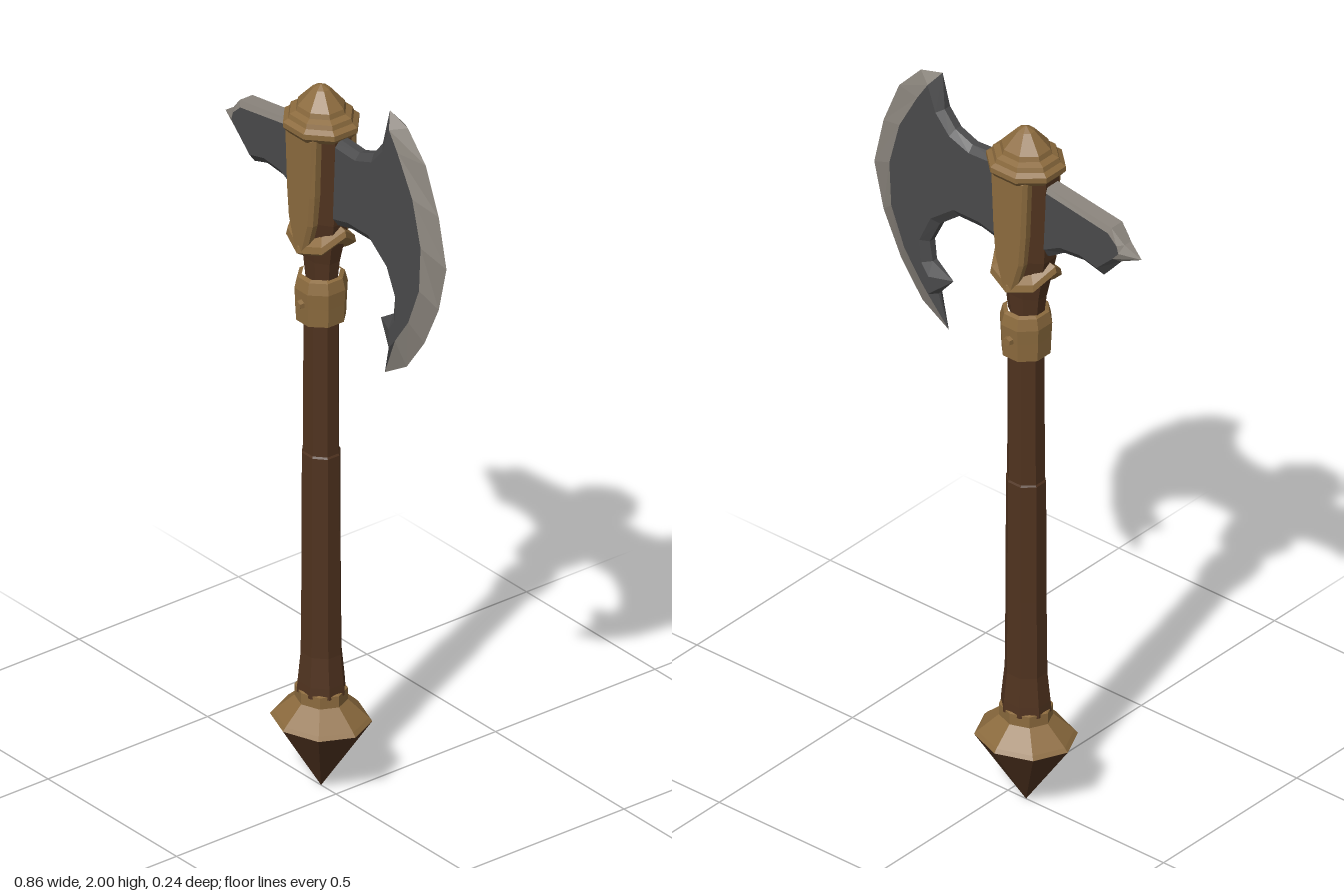
import * as THREE from 'three';

const AXIS = -0.058; // x of the shaft's centre line

const mats = {};
for (const [name, color] of Object.entries({
  darkSteel: 0x4a4a4b, brightSteel: 0x8c867e, brass: 0x8c6b3e, wood: 0x50331f,
})) {
  mats[name] = new THREE.MeshStandardMaterial({ color });
  mats[name].name = name;
}

// Facet a geometry and wrap it in a named mesh
function part(name, geometry, material) {
  const g = geometry.index ? geometry.toNonIndexed() : geometry;
  g.computeVertexNormals();
  const mesh = new THREE.Mesh(g, material);
  mesh.name = name;
  return mesh;
}

// Eight-sided turned part; flat puts a side, not a corner, to the front
function turned(name, profile, material, zScale = 1, flat = true) {
  const k = flat ? 1 / Math.cos(Math.PI / 8) : 1;
  const pts = profile.map(([r, y]) => new THREE.Vector2(r * k, y));
  const g = new THREE.LatheGeometry(pts, 8, flat ? Math.PI / 8 : 0);
  g.scale(1, 1, zScale);
  g.translate(AXIS, 0, 0);
  return part(name, g, material);
}

// Bevelled steel plate. Rows run counter-clockwise:
// [outer x, outer y, inner x, inner y, half thickness of rim, bright bevel?]
function steel(name, rows) {
  const group = new THREE.Group();
  group.name = name;
  const tris = { darkSteel: [], brightSteel: [] };
  const outer = (r, s) => [r[0], r[1], s * r[4]];
  const inner = (r, s) => [r[2], r[3], r[0] === r[2] && r[1] === r[3] ? 0 : s * 0.025];
  const face = (list, a, b, c, s) => list.push(...a, ...(s > 0 ? [...b, ...c] : [...c, ...b]));
  const contour = rows.map(r => new THREE.Vector2(r[2], r[3]));
  const flats = THREE.ShapeUtils.triangulateShape(contour, []);
  for (const s of [1, -1]) {
    for (const [a, b, c] of flats)
      face(tris.darkSteel, inner(rows[a], s), inner(rows[b], s), inner(rows[c], s), s);
    rows.forEach((p, i) => {
      const q = rows[(i + 1) % rows.length];
      const list = p[5] ? tris.brightSteel : tris.darkSteel;
      face(list, outer(p, s), outer(q, s), inner(q, s), s);
      face(list, outer(p, s), inner(q, s), inner(p, s), s);
    });
  }
  // narrow rim between the two bevels
  rows.forEach((p, i) => {
    const q = rows[(i + 1) % rows.length];
    if (p[4] + q[4] === 0) return;
    const list = p[5] ? tris.brightSteel : tris.darkSteel;
    face(list, outer(p, -1), outer(q, -1), outer(q, 1), 1);
    face(list, outer(p, -1), outer(q, 1), outer(p, 1), 1);
  });
  for (const key in tris) {
    const g = new THREE.BufferGeometry();
    g.setAttribute('position', new THREE.Float32BufferAttribute(tris[key], 3));
    group.add(part(key === 'darkSteel' ? name + 'Body' : name + 'Edge', g, mats[key]));
  }
  return group;
}

export function createModel() {
  const axe = new THREE.Group();
  axe.name = 'battleAxe';

  // Pommel
  const point = turned('pommelPoint', [[0, 0], [0.134, 0.19]], mats.wood, 0.89, false);
  const pommel = turned('pommelCap',
    [[0.134, 0.19], [0.125, 0.2], [0.07, 0.247], [0.07, 0.278], [0.05, 0.284]], mats.brass, 0.89, false);
  axe.add(point, pommel);

  // Shaft with a small step halfway
  axe.add(turned('shaft', [[0.062, 0.27], [0.06, 0.3], [0.052, 0.38], [0.05, 0.6], [0.049, 0.935],
    [0.046, 0.94], [0.045, 1.33]], mats.wood, 0.9));

  // Riveted collar
  axe.add(turned('collar', [[0.044, 1.305], [0.058, 1.31], [0.06, 1.36], [0.062, 1.4],
    [0.055, 1.43], [0.045, 1.435]], mats.brass, 1.02));
  for (const s of [1, -1]) {
    const rivet = new THREE.CylinderGeometry(0.011, 0.014, 0.016, 6);
    rivet.rotateX(s * Math.PI / 2);
    rivet.translate(AXIS, 1.365, s * 0.066);
    axe.add(part('rivet', rivet, mats.brass));
  }

  // Wooden head core
  axe.add(turned('headCore', [[0.046, 1.42], [0.053, 1.48], [0.068, 1.55], [0.078, 1.6],
    [0.086, 1.84]], mats.wood, 0.72));

  // Lower head band, dipping to a V at front and back
  const band = new THREE.LatheGeometry([[0.06, 1.535], [0.078, 1.55], [0.098, 1.572], [0.094, 1.588],
    [0.07, 1.595]].map(p => new THREE.Vector2(...p)), 8);
  const bp = band.attributes.position;
  for (let i = 0; i < bp.count; i++) bp.setY(i, bp.getY(i) - 0.62 * Math.abs(bp.getZ(i)));
  band.scale(1, 1, 0.78);
  band.translate(AXIS, 0, 0);
  axe.add(part('headBand', band, mats.brass));

  // Tapered plates on front and back of the head
  const outline = new THREE.Shape([[-0.012, 1.52], [0.012, 1.52], [0.036, 1.6], [0.043, 1.68],
    [0.05, 1.84], [-0.05, 1.84], [-0.043, 1.68], [-0.036, 1.6]].map(p => new THREE.Vector2(...p)));
  for (const s of [1, -1]) {
    const g = new THREE.ExtrudeGeometry(outline, {
      depth: 0.035, bevelEnabled: true, bevelThickness: 0.01, bevelSize: 0.009, bevelSegments: 1,
    });
    g.translate(0, 0, 0.027);
    if (s < 0) g.rotateY(Math.PI);
    g.translate(AXIS, 0, 0);
    axe.add(part(s > 0 ? 'frontPlate' : 'backPlate', g, mats.brass));
  }

  // Pointed cap
  axe.add(turned('headCap', [[0.07, 1.828], [0.084, 1.835], [0.097, 1.85], [0.097, 1.864], [0.084, 1.873],
    [0.08, 1.885], [0.064, 1.892], [0.06, 1.905], [0.022, 1.948], [0, 1.96]], mats.brass, 0.9));

  // Crescent blade
  axe.add(steel('blade', [
    [-0.04, 1.598, -0.04, 1.62, 0.01, 0],
    [0.01, 1.598, 0.01, 1.62, 0.01, 0],
    [0.075, 1.614, 0.075, 1.636, 0.01, 0],
    [0.148, 1.614, 0.155, 1.636, 0.01, 0],
    [0.21, 1.566, 0.228, 1.58, 0.01, 0],
    [0.243, 1.5, 0.264, 1.503, 0.01, 0],
    [0.235, 1.445, 0.258, 1.44, 0.008, 0],
    [0.175, 1.407, 0.235, 1.408, 0, 0],
    [0.22, 1.355, 0.236, 1.357, 0.004, 0],
    [0.19, 1.26, 0.19, 1.26, 0, 1],
    [0.275, 1.312, 0.26, 1.386, 0, 1],
    [0.344, 1.407, 0.312, 1.46, 0, 1],
    [0.4, 1.524, 0.354, 1.566, 0, 1],
    [0.43, 1.65, 0.36, 1.688, 0, 1],
    [0.4, 1.783, 0.328, 1.81, 0, 1],
    [0.35, 1.905, 0.27, 1.915, 0, 1],
    [0.28, 1.98, 0.237, 1.965, 0, 1],
    [0.21, 2, 0.21, 2, 0, 0],
    [0.195, 1.905, 0.212, 1.895, 0.01, 0],
    [0.16, 1.862, 0.168, 1.845, 0.01, 0],
    [0.105, 1.84, 0.105, 1.822, 0.01, 0],
    [-0.04, 1.848, -0.04, 1.828, 0.01, 0],
  ]));

  // Rear spike
  axe.add(steel('spike', [
    [-0.07, 1.838, -0.07, 1.822, 0.02, 1],
    [-0.143, 1.825, -0.143, 1.81, 0.02, 1],
    [-0.35, 1.794, -0.342, 1.778, 0.02, 1],
    [-0.385, 1.755, -0.37, 1.752, 0.012, 1],
    [-0.43, 1.725, -0.376, 1.732, 0, 1],
    [-0.37, 1.7, -0.357, 1.71, 0.008, 0],
    [-0.312, 1.635, -0.306, 1.662, 0.004, 0],
    [-0.254, 1.656, -0.25, 1.676, 0.01, 0],
    [-0.19, 1.65, -0.186, 1.67, 0.01, 0],
    [-0.143, 1.62, -0.13, 1.64, 0.01, 0],
    [-0.07, 1.6, -0.07, 1.62, 0.01, 0],
  ]));

  return axe;
}
